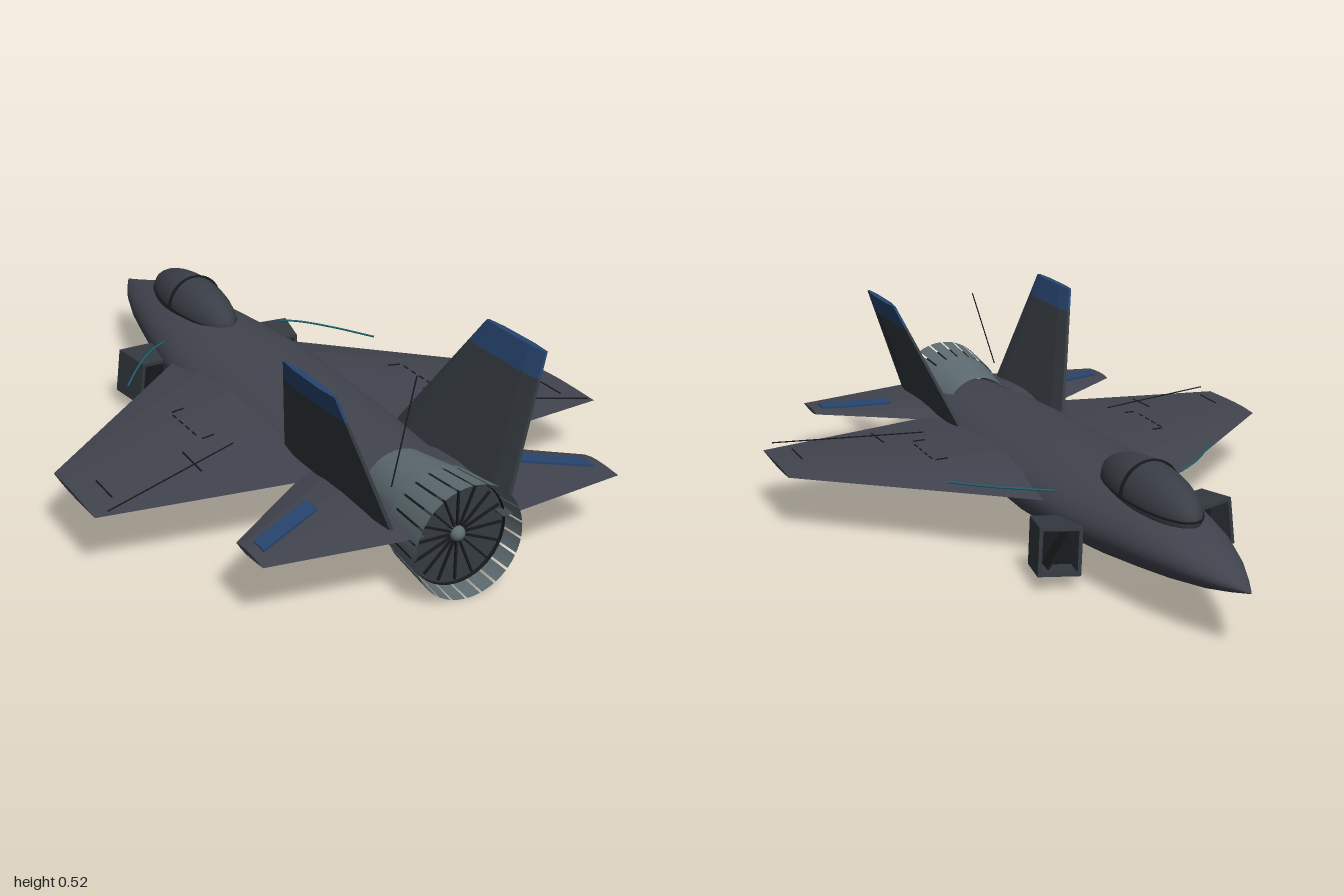
import * as THREE from 'three';
import { ConvexGeometry } from 'three/addons/geometries/ConvexGeometry.js';

const mat = (name, color, side = THREE.FrontSide) => {
  const m = new THREE.MeshStandardMaterial({ color, side });
  m.name = name;
  return m;
};
const V = (x, y, z) => new THREE.Vector3(x, y, z);

export function createModel() {
  const hullGrey = mat('hullGrey', 0x41444e);
  const finGrey = mat('finGrey', 0x343a40);
  const glass = mat('canopyTint', 0x3a3e46);
  const metal = mat('nozzleMetal', 0x5d6b70, THREE.DoubleSide);
  const dark = mat('darkTrim', 0x17191d, THREE.DoubleSide);
  const blue = mat('markingBlue', 0x27456f);
  const teal = mat('vapourTeal', 0x1d6670);

  const model = new THREE.Group();
  model.name = 'fighterJet';
  const add = (name, geo, material, parent = model) => {
    const m = new THREE.Mesh(geo, material);
    m.name = name;
    parent.add(m);
    return m;
  };
  const hull = (name, pts, material) => add(name, new ConvexGeometry(pts), material);
  // Thin rod between two points
  const rod = (name, a, b, r, material) => {
    const m = add(name, new THREE.CylinderGeometry(r, r, a.distanceTo(b), 6), material);
    m.position.copy(a).lerp(b, 0.5);
    m.quaternion.setFromUnitVectors(V(0, 1, 0), b.clone().sub(a).normalize());
    return m;
  };

  // Fuselage: elliptical sections [z, half width, top, bottom]
  const sections = [
    [-1, 0.001, 0.166, 0.164], [-0.93, 0.035, 0.184, 0.143], [-0.85, 0.068, 0.207, 0.122],
    [-0.72, 0.108, 0.232, 0.098], [-0.6, 0.133, 0.243, 0.08], [-0.45, 0.162, 0.25, 0.062],
    [-0.3, 0.188, 0.252, 0.052], [-0.1, 0.212, 0.25, 0.048], [0.15, 0.208, 0.245, 0.05],
    [0.4, 0.195, 0.235, 0.06], [0.6, 0.175, 0.225, 0.08], [0.8, 0.145, 0.21, 0.115],
    [0.88, 0.13, 0.2, 0.13], [0.88, 0.001, 0.166, 0.164],
  ];
  const N = 40, pos = [], idx = [];
  sections.forEach(([z, w, top, bot], i) => {
    for (let j = 0; j < N; j++) {
      const a = (j / N) * Math.PI * 2;
      pos.push(w * Math.cos(a), (top + bot) / 2 + ((top - bot) / 2) * Math.sin(a), z);
      if (i === sections.length - 1) continue;
      const p = i * N + j, q = i * N + ((j + 1) % N);
      idx.push(p, q, p + N, q, q + N, p + N);
    }
  });
  const body = new THREE.BufferGeometry();
  body.setAttribute('position', new THREE.Float32BufferAttribute(pos, 3));
  body.setIndex(idx);
  body.computeVertexNormals();
  add('fuselage', body, hullGrey);

  // Canopy with centre hoop and rim
  const canopy = add('canopy', new THREE.SphereGeometry(1, 32, 20), glass);
  canopy.scale.set(0.08, 0.086, 0.237);
  canopy.position.set(0, 0.247, -0.493);
  const hoop = add('canopyHoop', new THREE.TorusGeometry(0.083, 0.005, 6, 28, Math.PI), dark);
  hoop.position.set(0, 0.25, -0.49);
  const rimPts = [];
  for (let i = 0; i < 28; i++) {
    const a = (i / 28) * Math.PI * 2;
    rimPts.push(V(0.08 * Math.cos(a), 0.246, -0.493 + 0.237 * Math.sin(a)));
  }
  add('canopyRim', new THREE.TubeGeometry(new THREE.CatmullRomCurve3(rimPts, true), 56, 0.003, 5, true), dark);

  // Engine: fairing, slotted petals, turbine face
  const engine = new THREE.Group();
  engine.name = 'engine';
  engine.position.y = 0.148;
  model.add(engine);
  const tube = (name, z0, z1, r0, r1, material, start = 0, len = Math.PI * 2, seg = 40) => {
    const g = new THREE.CylinderGeometry(r1, r0, z1 - z0, seg, 1, true, start, len);
    g.rotateX(Math.PI / 2).translate(0, 0, (z0 + z1) / 2);
    return add(name, g, material, engine);
  };
  tube('engineFairing', 0.68, 0.86, 0.106, 0.132, metal);
  tube('nozzleLiner', 0.86, 0.95, 0.128, 0.134, dark);
  const petals = 22, step = (Math.PI * 2) / petals;
  for (let i = 0; i < petals; i++) {
    tube('nozzlePetal', 0.85, 1, 0.134, 0.148, metal, i * step, step * 0.86, 2);
  }
  const face = add('turbineFace', new THREE.CircleGeometry(0.132, 40), finGrey, engine);
  face.position.z = 0.94;
  for (let i = 0; i < 16; i++) {
    const g = new THREE.BoxGeometry(0.11, 0.005, 0.006);
    g.translate(0.07, 0, 0).rotateZ((i / 16) * Math.PI * 2);
    add('turbineBlade', g, dark, engine).position.z = 0.944;
  }
  const hub = add('turbineHub', new THREE.SphereGeometry(0.02, 16, 10), metal, engine);
  hub.position.z = 0.945;

  // Lens-shaped surface; each end is [x, leading z, trailing z, y, half thickness]
  const surface = (name, s, ends, material) => hull(name, ends.flatMap(([x, zl, zt, y, t]) => {
    const at = (f) => zl + (zt - zl) * f;
    return [V(s * x, y, zl), V(s * x, y, zt),
      ...[0.2, 0.4, 0.65].flatMap((f, k) => {
        const h = t * [0.8, 1, 0.75][k];
        return [V(s * x, y + h, at(f)), V(s * x, y - h, at(f))];
      })];
  }), material);

  // Fin slab between two heights, leaning outwards
  const finSlab = (name, s, y0, y1, material) => hull(name, [y0, y1].flatMap((y) => {
    const f = (y - 0.21) / 0.315;
    const x = 0.175 + 0.115 * f, t = 0.013 - 0.004 * f;
    const zl = 0.42 + 0.2 * f, zt = 0.915 - 0.05 * f;
    return [-1, 1].flatMap((k) => [V(s * (x + k * t * 0.4), y, zl), V(s * (x + k * t), y, zl + 0.06),
      V(s * (x + k * t), y, zt - 0.06), V(s * (x + k * t * 0.4), y, zt)]);
  }), material);

  for (const s of [1, -1]) {
    surface('wing', s, [[0.12, -0.31, 0.605, 0.178, 0.036], [0.74, 0.24, 0.51, 0.166, 0.005]], hullGrey);
    surface('tailplane', s, [[0.11, 0.49, 0.975, 0.178, 0.024], [0.5, 0.78, 0.915, 0.17, 0.006]], hullGrey);

    // Blue tailplane stripe
    hull('tailStripe', [[0.28, 0.2, 0.715], [0.28, 0.2, 0.77], [0.47, 0.181, 0.808], [0.47, 0.181, 0.86]]
      .flatMap(([x, y, z]) => [V(s * x, y, z), V(s * x, y - 0.006, z)]), blue);

    // Tail fin, painted tip and hinge line
    finSlab('tailFin', s, 0.185, 0.462, finGrey);
    finSlab('tailFinTip', s, 0.462, 0.525, blue);
    rod('finHinge', s > 0 ? V(0.2, 0.25, 0.84) : V(-0.12, 0.25, 0.84),
      s > 0 ? V(0.282, 0.46, 0.79) : V(-0.03, 0.5, 0.795), 0.0018, dark);

    // Wing panel lines
    rod('flapLine', V(s * 0.3, 0.205, 0.365), V(s * 0.71, 0.182, 0.52), 0.002, dark);
    rod('panelLine', V(s * 0.43, 0.198, 0.34), V(s * 0.43, 0.193, 0.45), 0.002, dark);
    rod('panelLine', V(s * 0.67, 0.178, 0.35), V(s * 0.67, 0.178, 0.45), 0.002, dark);
    for (let i = 0; i < 4; i++) {
      const z = 0.13 + i * 0.04;
      rod('panelDash', V(s * 0.36, 0.202, z), V(s * 0.36, 0.202, z + 0.022), 0.002, dark);
    }
    for (const z of [0.11, 0.295]) {
      rod('panelDash', V(s * 0.32, 0.205, z), V(s * 0.355, 0.203, z + 0.005), 0.002, dark);
    }

    // Curved trail ahead of the wing
    const trail = new THREE.CatmullRomCurve3([V(s * 0.185, 0.222, -0.31), V(s * 0.24, 0.222, -0.27),
      V(s * 0.31, 0.216, -0.2), V(s * 0.395, 0.207, -0.09)]);
    add('wingTrail', new THREE.TubeGeometry(trail, 20, 0.003, 6), teal);

    // Intake: open box of four walls with a dark splitter
    const intake = new THREE.Group();
    intake.name = 'intake';
    intake.position.set(s * 0.215, 0.1, -0.382);
    intake.rotation.set(0.08, -s * 0.2, s * 0.08);
    model.add(intake);
    for (const k of [-1, 1]) {
      add('intakeWall', new THREE.BoxGeometry(0.01, 0.125, 0.12), finGrey, intake).position.x = k * 0.052;
      add('intakeWall', new THREE.BoxGeometry(0.114, 0.01, 0.12), finGrey, intake).position.y = k * 0.06;
    }
    add('intakeBack', new THREE.BoxGeometry(0.1, 0.115, 0.008), dark, intake).position.z = 0.02;
    add('intakeSplitter', new THREE.BoxGeometry(0.006, 0.115, 0.09), dark, intake).rotation.z = s * 0.5;
  }
  return model;
}
